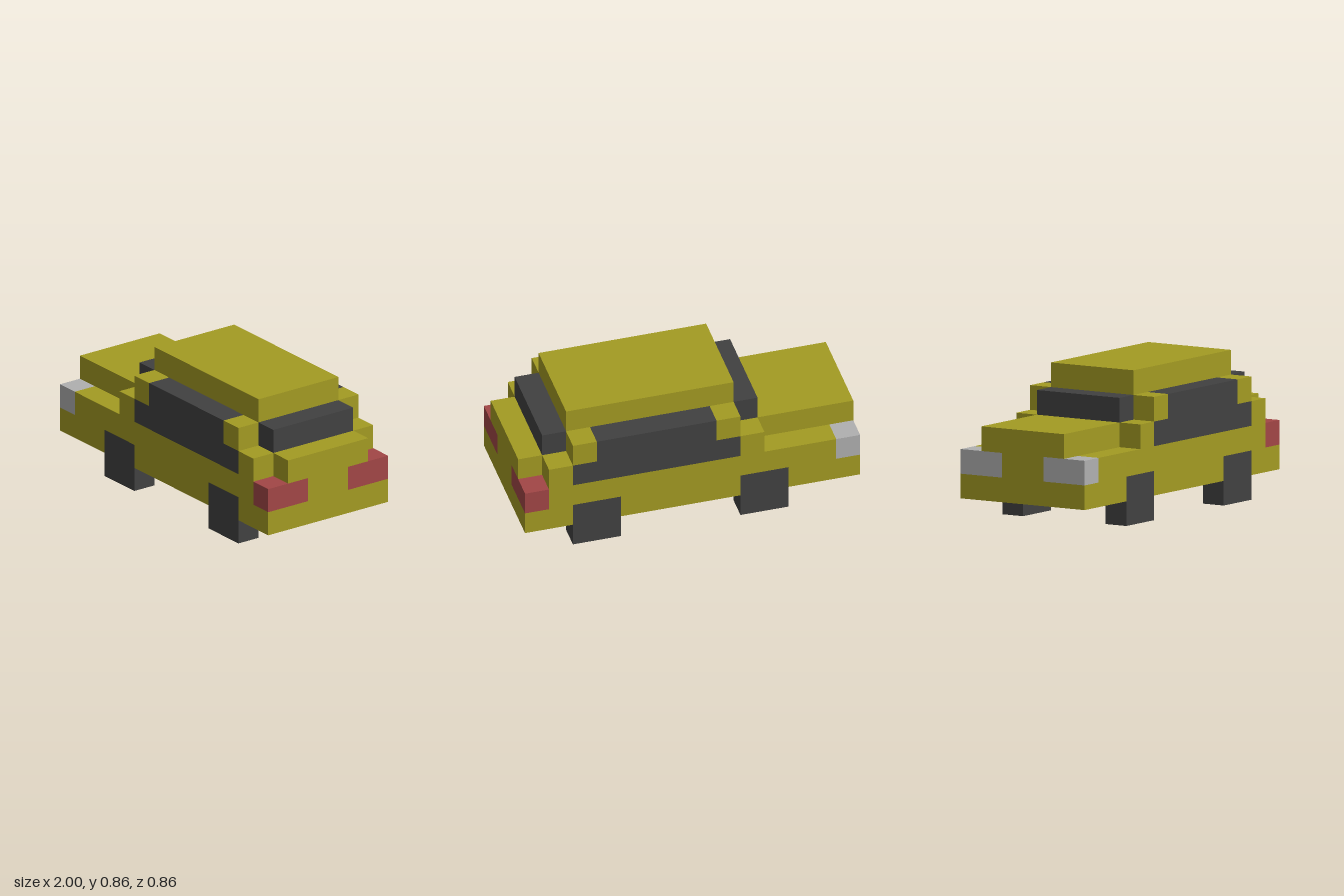
import * as THREE from 'three';

const U = 1 / 7; // one block

export function createModel() {
  const car = new THREE.Group();
  car.name = 'car';

  const makeMaterial = (name, color) => {
    const m = new THREE.MeshStandardMaterial({ color });
    m.name = name;
    return m;
  };
  const paint = makeMaterial('olivePaint', 0xa39b22);
  const dark = makeMaterial('darkGrey', 0x414141);
  const red = makeMaterial('tailRed', 0xa24646);
  const silver = makeMaterial('lampSilver', 0xb0b0b0);

  // Box between two corners, measured in blocks
  const block = (name, material, [x0, x1], [y0, y1], [z0, z1]) => {
    const geometry = new THREE.BoxGeometry((x1 - x0) * U, (y1 - y0) * U, (z1 - z0) * U);
    const mesh = new THREE.Mesh(geometry, material);
    mesh.name = name;
    mesh.position.set((x0 + x1) * U / 2, (y0 + y1) * U / 2, (z0 + z1) * U / 2);
    car.add(mesh);
  };
  // The same block on both sides of the car
  const pair = (name, material, x, y, [z0, z1]) => {
    block(name + 'Left', material, x, y, [z0, z1]);
    block(name + 'Right', material, x, y, [-z1, -z0]);
  };

  // Lower body, with sills cut away around the wheels
  block('chassis', paint, [-7, 7], [1, 2], [-2, 2]);
  pair('noseSill', paint, [-7, -4], [1, 2], [2, 3]);
  pair('middleSill', paint, [-2, 3], [1, 2], [2, 3]);
  pair('tailSill', paint, [5, 7], [1, 2], [2, 3]);

  // Wheels
  pair('noseWheel', dark, [-4, -2], [0, 2], [2, 3]);
  pair('tailWheel', dark, [3, 5], [0, 2], [2, 3]);

  // Belt of the body with lamps at the corners
  block('belt', paint, [-6, 6], [2, 3], [-3, 3]);
  block('grille', paint, [-7, -6], [2, 3], [-1, 1]);
  block('tailPanel', paint, [6, 7], [2, 3], [-1, 1]);
  pair('headlight', silver, [-7, -6], [2, 3], [1, 3]);
  pair('tailLight', red, [6, 7], [2, 3], [1, 3]);

  // Hood, trunk and shoulders
  block('hoodAndTrunk', paint, [-7, 7], [3, 4], [-2, 2]);
  pair('noseShoulder', paint, [-3, -2], [3, 4], [2, 3]);
  pair('tailShoulder', paint, [5, 6], [3, 4], [2, 3]);

  // Cabin, pillars and roof
  block('cabinAndRoof', paint, [-2, 5], [4, 6], [-2, 2]);
  pair('nosePillar', paint, [-2, -1], [4, 5], [2, 3]);
  pair('tailPillar', paint, [4, 5], [4, 5], [2, 3]);

  // Glass
  pair('lowerSideWindow', dark, [-2, 5], [3, 4], [2, 3]);
  pair('upperSideWindow', dark, [-1, 4], [4, 5], [2, 3]);
  block('windshield', dark, [-3, -2], [4, 5], [-2, 2]);
  block('rearWindow', dark, [5, 6], [4, 5], [-2, 2]);

  return car;
}
